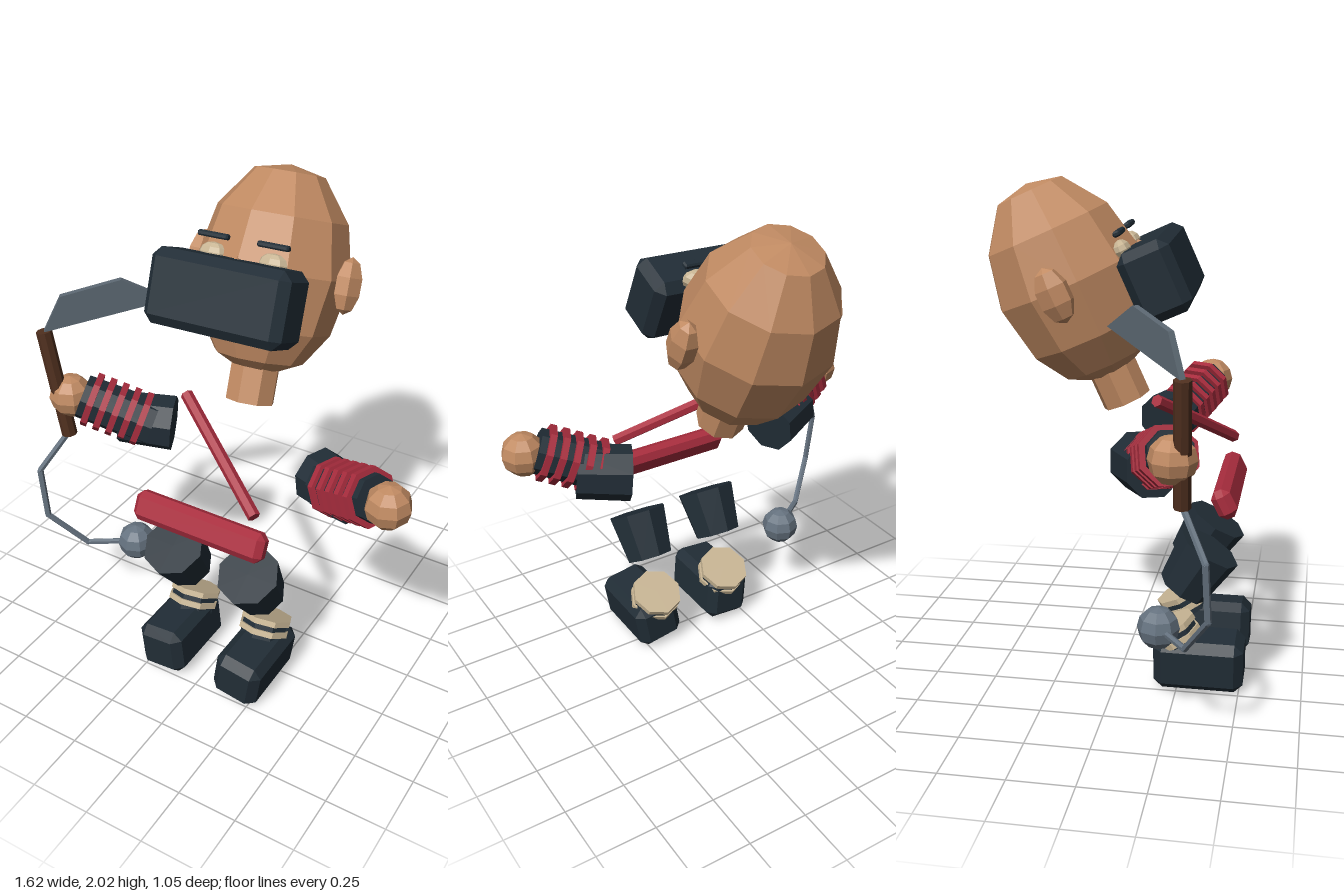
import * as THREE from 'three';
import { ConvexGeometry } from 'three/addons/geometries/ConvexGeometry.js';

const paint = (name, color) => {
  const m = new THREE.MeshStandardMaterial({ color, flatShading: true });
  m.name = name;
  return m;
};

export function createModel() {
  const skin = paint('skin', 0xc08a62);
  const cloth = paint('dark cloth', 0x212d36);
  const red = paint('red cloth', 0xa92d3e);
  const steel = paint('steel', 0x667380);
  const blade = paint('blade steel', 0x5c6872);
  const wood = paint('wood', 0x50301f);
  const linen = paint('linen', 0xc8b594);

  const model = new THREE.Group();
  model.name = 'figure';

  const add = (parent, name, geo, mat, pos = [0, 0, 0], rot = [0, 0, 0]) => {
    const m = new THREE.Mesh(geo, mat);
    m.name = name;
    m.position.set(...pos);
    m.rotation.set(...rot);
    parent.add(m);
    return m;
  };

  // Box with all edges cut at 45 degrees
  const chamferBox = (w, h, d, c) => {
    const pts = [];
    for (const x of [-w / 2, w / 2]) for (const y of [-h / 2, h / 2]) for (const z of [-d / 2, d / 2]) {
      const [cx, cy, cz] = [x, y, z].map((v) => v - Math.sign(v) * c);
      pts.push(new THREE.Vector3(x, cy, cz), new THREE.Vector3(cx, y, cz), new THREE.Vector3(cx, cy, z));
    }
    return new ConvexGeometry(pts);
  };

  // Tapered cylinder from point a to point b
  const rod = (parent, name, a, b, ra, rb, sides, mat) => {
    const A = new THREE.Vector3(...a), B = new THREE.Vector3(...b);
    const dir = B.clone().sub(A);
    const m = add(parent, name, new THREE.CylinderGeometry(rb, ra, dir.length(), sides), mat);
    m.position.copy(A).add(B).multiplyScalar(0.5);
    m.quaternion.setFromUnitVectors(new THREE.Vector3(0, 1, 0), dir.normalize());
    return m;
  };

  const ellipsoid = (rx, ry, rz, w, h) => new THREE.SphereGeometry(1, w, h).scale(rx, ry, rz);

  // Head, leaning back
  const head = new THREE.Group();
  head.name = 'head';
  head.position.set(-0.025, 1.268, -0.05);
  head.rotation.set(-0.42, 0, 0.045);
  model.add(head);
  const profile = [[0, 0], [0.08, 0], [0.18, 0.05], [0.265, 0.18], [0.308, 0.4], [0.26, 0.61], [0.14, 0.77], [0, 0.8]]
    .map(([r, y]) => new THREE.Vector2(r, y));
  add(head, 'skull', new THREE.LatheGeometry(profile, 10), skin);
  add(head, 'neck', new THREE.CylinderGeometry(0.1, 0.1, 0.19, 8), skin, [0, -0.035, 0.01]);
  add(head, 'mask', chamferBox(0.58, 0.285, 0.21, 0.035), cloth, [0, 0.283, 0.35]);
  add(head, 'nose', ellipsoid(0.02, 0.04, 0.025, 6, 4), skin, [0, 0.395, 0.31]);
  for (const s of [1, -1]) {
    add(head, 'ear', ellipsoid(0.055, 0.11, 0.07, 6, 5), skin, [s * 0.325, 0.39, 0.005]);
    add(head, 'eye', ellipsoid(0.06, 0.04, 0.035, 8, 6), linen, [s * 0.127, 0.43, 0.265]);
    add(head, 'brow', chamferBox(0.13, 0.022, 0.03, 0.006), cloth, [s * 0.127, 0.495, 0.28]);
  }

  for (const s of [1, -1]) {
    // Arm: sleeve, forearm with red bands, hand
    const arm = new THREE.Group();
    arm.name = s > 0 ? 'leftArm' : 'rightArm';
    arm.position.set(0.008, s > 0 ? 0 : 0.015, 0);
    model.add(arm);
    rod(arm, 'sleeve', [s * 0.335, 0.98, 0.105], [s * 0.53, 1.0, 0.195], 0.115, 0.108, 8, cloth);
    const from = new THREE.Vector3(s * 0.4, 0.99, 0.16), to = new THREE.Vector3(s * 0.66, 1.1, 0.275);
    rod(arm, 'forearm', from.toArray(), to.toArray(), 0.1, 0.092, 8, cloth);
    const at = (t) => from.clone().lerp(to, t).toArray();
    for (let i = 0; i < 5; i++) {
      const t = 0.12 + i * 0.175;
      rod(arm, 'armBand', at(t), at(t + 0.085), 0.116, 0.116, 8, red);
    }
    add(arm, 'hand', new THREE.SphereGeometry(0.09, 8, 6), skin, [s * 0.71, 1.095, 0.285]);

    // Leg: trouser, ankle wraps, boot
    const x = s > 0 ? 0.183 : -0.17;
    const leg = new THREE.Group();
    leg.name = s > 0 ? 'leftLeg' : 'rightLeg';
    model.add(leg);
    rod(leg, 'trouser', [x, 0.425, 0.265], [x, 0.6, 0.37], 0.103, 0.13, 8, cloth);
    const ankle = new THREE.Group();
    ankle.name = 'ankleWrap';
    ankle.position.set(x, 0.255, 0.215);
    ankle.rotation.x = -0.5;
    leg.add(ankle);
    for (let i = 0; i < 4; i++) {
      const wrap = i % 2 === 0;
      add(ankle, wrap ? 'linenWrap' : 'ankle', new THREE.CylinderGeometry(wrap ? 0.11 : 0.1, wrap ? 0.11 : 0.1, 0.024, 8),
        wrap ? linen : cloth, [0, -0.024 * i, 0]);
    }
    add(leg, 'boot', chamferBox(0.205, 0.212, 0.36, 0.035), cloth,
      [s > 0 ? 0.195 : -0.17, 0.124, 0.337], [0, 0, s > 0 ? -0.16 : 0.08]);
  }

  // Belt and diagonal sash
  add(model, 'belt', chamferBox(0.585, 0.12, 0.08, 0.025), red, [0.003, 0.815, 0.43], [-0.47, 0, 0]);
  rod(model, 'sash', [-0.22, 1.2, 0.16], [0.245, 0.95, 0.425], 0.025, 0.025, 6, red);

  // Sickle with chain and weight
  const sickle = new THREE.Group();
  sickle.name = 'sickle';
  model.add(sickle);
  rod(sickle, 'handle', [-0.703, 0.94, 0.32], [-0.775, 1.405, 0.325], 0.032, 0.032, 8, wood);
  const shape = new THREE.Shape([[0, 0], [0.5, 0.105], [0.315, 0.205], [0.077, 0.15]]
    .map(([px, py]) => new THREE.Vector2(px, py)));
  const bladeGeo = new THREE.ExtrudeGeometry(shape, { depth: 0.024, bevelEnabled: false }).translate(0, 0, -0.012);
  add(sickle, 'blade', bladeGeo, blade, [-0.775, 1.405, 0.325], [0, 0.68, 0]);
  const chain = [[-0.705, 0.95, 0.32], [-0.803, 0.775, 0.415], [-0.78, 0.555, 0.425], [-0.655, 0.39, 0.33], [-0.48, 0.385, 0.21]];
  for (let i = 0; i < chain.length - 1; i++) {
    rod(sickle, 'chain', chain[i], chain[i + 1], 0.013, 0.013, 6, steel);
    add(sickle, 'chainJoint', new THREE.SphereGeometry(0.013, 6, 4), steel, chain[i + 1]);
  }
  add(sickle, 'weight', new THREE.SphereGeometry(0.082, 8, 6), steel, [-0.48, 0.387, 0.21]);

  return model;
}
